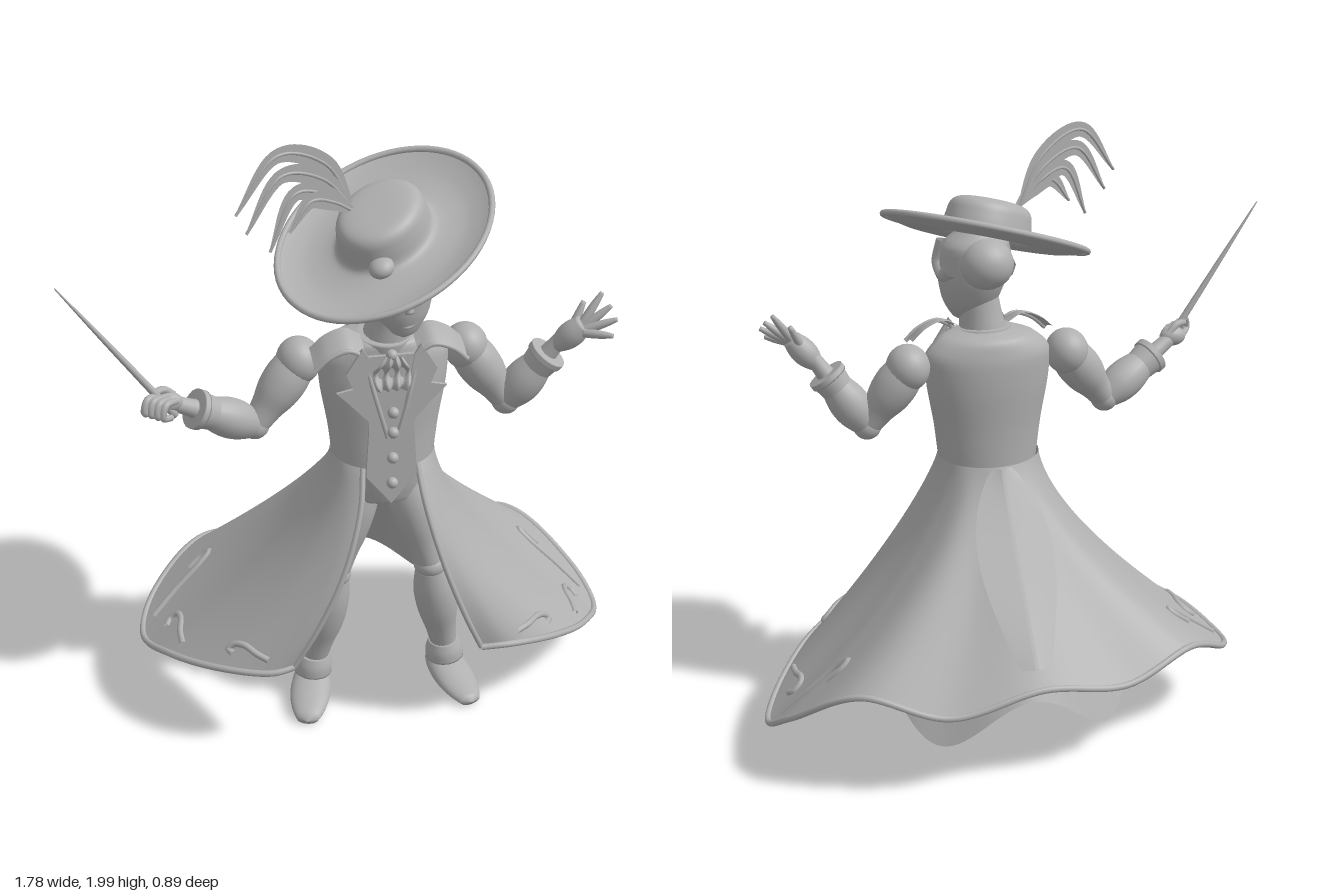
import * as THREE from 'three';

const V = (x, y, z) => new THREE.Vector3(x, y, z);
const lerp = THREE.MathUtils.lerp;
const grey = new THREE.MeshStandardMaterial({ color: 0xb0b0b0, side: THREE.DoubleSide });
grey.name = 'plain grey';

// Surface from a function f(u, v) -> Vector3, u and v in 0..1
function sheet(f, nu, nv) {
  const pos = [], idx = [];
  for (let j = 0; j <= nv; j++) for (let i = 0; i <= nu; i++) pos.push(...f(i / nu, j / nv).toArray());
  for (let j = 0; j < nv; j++) for (let i = 0; i < nu; i++) {
    const a = j * (nu + 1) + i, b = a + nu + 1;
    idx.push(a, b, a + 1, b, b + 1, a + 1);
  }
  const g = new THREE.BufferGeometry();
  g.setAttribute('position', new THREE.Float32BufferAttribute(pos, 3));
  g.setIndex(idx);
  g.computeVertexNormals();
  return g;
}

// Closed loft through elliptical sections [x, y, z, rx, rz]
function loft(sections, n = 32) {
  const mid = new THREE.CatmullRomCurve3(sections.map(s => V(s[0], s[1], s[2])));
  const rad = new THREE.CatmullRomCurve3(sections.map(s => V(s[3], s[4], 0)));
  return sheet((u, v) => {
    const c = mid.getPoint(v), r = rad.getPoint(v), a = u * Math.PI * 2;
    return V(c.x + r.x * Math.cos(a), c.y, c.z + r.y * Math.sin(a));
  }, n, sections.length * 4);
}

export function createModel() {
  const root = new THREE.Group();
  const add = (name, geo, parent = root) => {
    const m = new THREE.Mesh(geo, grey);
    m.name = name;
    parent.add(m);
    return m;
  };
  const ball = (name, p, rx, ry = rx, rz = rx, parent = root) => {
    const m = add(name, new THREE.SphereGeometry(1, 24, 16), parent);
    m.position.copy(p);
    m.scale.set(rx, ry, rz);
    return m;
  };
  // Turned piece from a to b with evenly spaced radii
  const limb = (name, a, b, radii) => {
    const d = b.clone().sub(a), L = d.length(), n = radii.length - 1;
    const prof = new THREE.SplineCurve(radii.map((r, i) => new THREE.Vector2(r, L * i / n))).getPoints(n * 4);
    const pts = [new THREE.Vector2(0, 0), ...prof, new THREE.Vector2(0, L)];
    const m = add(name, new THREE.LatheGeometry(pts, 20));
    m.position.copy(a);
    m.quaternion.setFromUnitVectors(V(0, 1, 0), d.normalize());
  };
  const tube = (name, pts, r) =>
    add(name, new THREE.TubeGeometry(new THREE.CatmullRomCurve3(pts), pts.length * 6, r, 8));

  // Torso, neck and hips
  const cx = 0.095;
  add('torso', loft([[cx, 0.92, 0.14, 0.16, 0.13], [cx, 1.05, 0.135, 0.175, 0.125], [cx, 1.2, 0.13, 0.2, 0.125],
    [cx, 1.29, 0.125, 0.205, 0.115], [cx, 1.35, 0.13, 0.15, 0.1], [cx, 1.37, 0.14, 0.07, 0.07]]));
  limb('neck', V(cx, 1.3, 0.15), V(0.115, 1.47, 0.165), [0.08, 0.075, 0.068, 0.065]);
  limb('collarBand', V(cx, 1.32, 0.15), V(cx, 1.37, 0.155), [0.085, 0.085]);
  add('hips', loft([[cx, 0.78, 0.14, 0.001, 0.001], [cx, 0.785, 0.14, 0.11, 0.08], [cx, 0.84, 0.14, 0.125, 0.1],
    [cx, 0.94, 0.14, 0.14, 0.12]]));
  const plate = (name, pts, z, tilt) => {
    const s = new THREE.Shape(pts.map(p => new THREE.Vector2(p[0], p[1] - 0.9)));
    const m = add(name, new THREE.ExtrudeGeometry(s, { depth: 0.012, bevelEnabled: false }));
    m.position.set(cx, 0.9, z);
    m.rotation.x = tilt;
  };
  plate('waistcoatFront', [[-0.08, 0.93], [0, 0.83], [0.08, 0.93], [0.07, 1.1], [0.1, 1.34], [-0.1, 1.34], [-0.07, 1.1]], 0.272, -0.05);
  for (const s of [-1, 1]) {
    plate('lapel', [[s * 0.02, 1.07], [s * 0.14, 1.2], [s * 0.17, 1.23], [s * 0.12, 1.24], [s * 0.14, 1.29],
      [s * 0.09, 1.37], [s * 0.07, 1.34]], 0.282, -0.06);
    tube('lapelTrim', [V(cx + s * 0.09, 1.36, 0.25), V(cx + s * 0.05, 1.2, 0.28), V(cx + s * 0.015, 1.07, 0.288)], 0.007);
    // Curved collar wing over the shoulder
    const wing = new THREE.CatmullRomCurve3([V(cx + s * 0.08, 1.37, 0.2), V(cx + s * 0.13, 1.395, 0.2),
      V(cx + s * 0.19, 1.375, 0.2), V(cx + s * 0.235, 1.335, 0.2)]);
    add('collarWing', sheet((u, v) => wing.getPoint(u).add(V(0, -0.03 * v * v, lerp(-0.04, 0.06, v))), 16, 6));
    tube('collarWingTrim', [0, 0.33, 0.66, 1].map(t => wing.getPoint(t).add(V(0, -0.03, 0.06))), 0.008);
  }
  for (const y of [0.91, 1.0, 1.09, 1.16, 1.34]) ball('button', V(cx, y, y > 1.3 ? 0.26 : 0.294), 0.018);
  // Ruffled neckcloth
  add('neckcloth', sheet((u, v) => V(cx + (u - 0.5) * lerp(0.06, 0.12, Math.sin(v * 2.6)), 1.34 - 0.11 * v,
    0.275 + 0.008 * Math.sin(u * 22) + 0.012 * Math.sin(v * 9)), 32, 12));

  // Coat skirt: flares from the waist to a wavy hem, open at the front
  const hem = new THREE.CatmullRomCurve3([
    [-0.24, 0.33, 0.41], [-0.31, 0.32, 0.415], [-0.46, 0.31, 0.35], [-0.61, 0.27, 0.19], [-0.685, 0.22, 0],
    [-0.63, 0.27, -0.17], [-0.45, 0.37, -0.32], [-0.2, 0.32, -0.41], [0.08, 0.36, -0.43], [0.38, 0.3, -0.41],
    [0.64, 0.37, -0.32], [0.83, 0.23, -0.14], [0.88, 0.15, 0], [0.8, 0.2, 0.17], [0.65, 0.28, 0.33],
    [0.47, 0.33, 0.415], [0.37, 0.33, 0.415]].map(p => V(...p)));
  const skirt = (u, v) => {
    const a = lerp(0.55, Math.PI * 2 - 0.55, u), h = hem.getPoint(u), front = (1 + Math.cos(a)) / 2;
    return V(lerp(cx - 0.165 * Math.sin(a), h.x, v ** 1.5), lerp(0.95, h.y, v),
      lerp(0.13 + 0.15 * Math.cos(a), h.z, v ** lerp(1.1, 0.75, front)) + 0.055 * front ** 2 * Math.sin(Math.PI * v));
  };
  add('coatSkirt', sheet(skirt, 120, 30));
  add('hemTrim', new THREE.TubeGeometry(hem, 160, 0.011, 8));
  for (const u of [0, 1])
    tube('frontEdgeTrim', [0, 0.15, 0.3, 0.45, 0.6, 0.8, 1].map(v => skirt(u, v)), 0.009);
  // Cane-shaped embroidery lying on the skirt, mirrored
  for (const [i0, v0, i1, v1] of [[4.3, 0.96, 5.1, 0.78], [3.0, 0.95, 3.8, 0.86], [1.3, 0.93, 2.1, 0.87]])
    for (const flip of [false, true]) {
      const at = (t, side) => {
        const u = (lerp(i0, i1, t) + side * 0.16) / 16;
        return skirt(flip ? 1 - u : u, lerp(v0, v1, t) + side * 0.04);
      };
      tube('caneMotif', [at(0, 0), at(0.4, 0), at(0.85, 0), at(1.02, 0.4), at(0.95, 0.9), at(0.75, 1)], 0.011);
    }
  // Paired tail strips down the back
  for (const s of [-1, 1])
    add('tailStrip', sheet((u, v) => {
      const p = skirt(0.5, v * 0.9), w = 0.03 + 0.085 * Math.sin(Math.PI * v ** 0.8) + 0.02 * v;
      return V(cx + s * lerp(0.006, w, u), p.y, p.z - 0.018 + 0.01 * u);
    }, 6, 24));
  // Scalloped lining hanging behind the legs
  add('lining', sheet((u, v) => {
    const a = Math.PI * (0.5 + u), low = 0.205 + 0.075 * Math.cos(4 * a);
    return V(cx - lerp(0.13, 0.4, v) * Math.sin(a), lerp(0.92, low, v),
      0.1 - lerp(0.08, 0.46, v) * Math.sqrt(Math.abs(Math.cos(a))));
  }, 60, 16));

  // Legs and shoes
  for (const s of [-1, 1]) {
    const X = d => cx + s * d;
    const hip = V(X(0.065), 0.84, 0.14), knee = V(X(0.16), 0.5, 0.16), ankle = V(X(0.225), 0.13, 0.12);
    limb('thigh', hip, knee, [0.062, 0.072, 0.068, 0.055, 0.048]);
    ball('knee', knee, 0.055, 0.045, 0.055);
    limb('shin', knee, ankle, [0.048, 0.068, 0.068, 0.052, 0.042]);
    limb('shoeCuff', V(X(0.222), 0.16, 0.12), V(X(0.228), 0.09, 0.12), [0.05, 0.062, 0.064]);
    const shoe = add('shoe', sheet((u, v) => {
      const a = u * Math.PI * 2, end = v < 0.001 || v > 0.999 ? 0 : 1;
      const w = end * 0.068 * Math.sqrt(Math.sin(Math.PI * (0.15 + v * 0.8)));
      const h = lerp(0.055, 0.018, v), up = Math.sin(a);
      return V(w * Math.cos(a), 0.005 + h * (1 + end * up * (up > 0 ? 1 : 0.95)), lerp(-0.06, 0.2, v));
    }, 24, 24));
    shoe.position.set(X(0.23), 0, 0.12);
    shoe.rotation.y = s * 0.25;
  }

  // Arms with cuffs
  const arm = (shoulder, elbow, wrist) => {
    const at = t => elbow.clone().lerp(wrist, t);
    ball('shoulder', shoulder, 0.07, 0.075, 0.075);
    limb('upperArm', shoulder, elbow, [0.06, 0.07, 0.066, 0.05, 0.042]);
    ball('elbow', elbow, 0.046);
    limb('forearm', elbow, wrist, [0.042, 0.06, 0.062, 0.05, 0.035]);
    limb('cuff', at(0.66), at(0.95), [0.05, 0.054, 0.058]);
    limb('cuffBand', at(0.9), at(1), [0.062, 0.062]);
    limb('wrist', at(0.95), at(1.35), [0.03, 0.026, 0.024]);
  };
  arm(V(-0.165, 1.27, 0.11), V(-0.31, 1.08, 0.15), V(-0.5, 1.19, 0.21));
  arm(V(0.36, 1.27, 0.11), V(0.49, 1.08, 0.14), V(0.61, 1.255, 0.175));

  // Right hand gripping a slender blade
  ball('rightPalm', V(-0.58, 1.235, 0.235), 0.045, 0.032, 0.03);
  for (let i = 0; i < 4; i++) {
    const x = -0.565 - i * 0.018, y = 1.225 + i * 0.008;
    tube('rightFinger', [V(x + 0.01, y + 0.02, 0.25), V(x - 0.025, y + 0.025, 0.285), V(x - 0.035, y - 0.01, 0.295),
      V(x - 0.01, y - 0.025, 0.27)], 0.011);
  }
  tube('rightThumb', [V(-0.56, 1.25, 0.22), V(-0.59, 1.275, 0.23), V(-0.625, 1.275, 0.25)], 0.012);
  limb('blade', V(-0.56, 1.195, 0.25), V(-0.885, 1.66, 0.28), [0.012, 0.011, 0.009, 0.006, 0.002]);

  // Left hand, open with fingers spread
  limb('leftPalm', V(0.63, 1.28, 0.185), V(0.705, 1.365, 0.215), [0.022, 0.038, 0.04, 0.03]);
  for (const [x, y, z] of [[0.765, 1.455, 0.19], [0.785, 1.425, 0.225], [0.795, 1.395, 0.26], [0.775, 1.355, 0.29]])
    limb('leftFinger', V(lerp(0.69, x, 0.1), lerp(1.345, y, 0.1), lerp(0.215, z, 0.3)), V(x, y, z), [0.014, 0.014, 0.012, 0.007]);
  limb('leftThumb', V(0.66, 1.31, 0.2), V(0.715, 1.42, 0.17), [0.014, 0.014, 0.008]);

  // Head
  add('head', loft([[0.14, 1.375, 0.215, 0.004, 0.004], [0.14, 1.395, 0.2, 0.045, 0.045], [0.135, 1.46, 0.18, 0.09, 0.085],
    [0.13, 1.55, 0.165, 0.11, 0.105], [0.125, 1.64, 0.155, 0.105, 0.1], [0.12, 1.7, 0.15, 0.04, 0.04]]));
  limb('nose', V(0.14, 1.54, 0.26), V(0.145, 1.48, 0.27), [0.008, 0.012, 0.014]);
  tube('mouth', [V(0.11, 1.43, 0.243), V(0.145, 1.425, 0.252), V(0.175, 1.435, 0.243)], 0.006);
  for (const s of [-1, 1]) {
    tube('brow', [V(0.135 + s * 0.025, 1.535, 0.267), V(0.135 + s * 0.05, 1.555, 0.258), V(0.135 + s * 0.08, 1.55, 0.238)], 0.006);
    ball('eye', V(0.135 + s * 0.045, 1.515, 0.252), 0.018, 0.008, 0.008);
    tube('sideHair', [V(0.125 + s * 0.09, 1.65, 0.19), V(0.125 + s * 0.105, 1.58, 0.19), V(0.125 + s * 0.1, 1.55, 0.15),
      V(0.125 + s * 0.09, 1.58, 0.1)], 0.026);
  }
  ball('hairBun', V(0.11, 1.595, 0.075), 0.085, 0.08, 0.08);

  // Wide oval hat, tilted along its long diagonal
  const hat = new THREE.Group();
  hat.name = 'hat';
  hat.position.set(0.1, 1.672, 0.115);
  hat.quaternion.setFromUnitVectors(V(0, 1, 0), V(-0.265, 0.93, 0.265).normalize());
  hat.rotateY(Math.PI / 4);
  hat.scale.set(1.13, 1, 0.94);
  root.add(hat);
  const profile = [[0, 0.115], [0.07, 0.113], [0.11, 0.105], [0.13, 0.085], [0.138, 0.05], [0.147, 0.005],
    [0.18, -0.01], [0.24, -0.014], [0.29, -0.004], [0.327, 0.01]].map(p => new THREE.Vector2(...p));
  add('crownAndBrim', new THREE.LatheGeometry(new THREE.SplineCurve(profile).getPoints(40), 64), hat);
  const trim = add('brimTrim', new THREE.TorusGeometry(0.327, 0.01, 8, 64), hat);
  trim.rotation.x = Math.PI / 2;
  trim.position.y = 0.01;
  ball('brooch', V(-0.125, 0.02, 0.085), 0.035, 0.028, 0.04, hat);

  // Drooping plumes: flat tapered ribbons with a central quill
  [[[-0.08, 1.91], [-0.23, 1.97], [-0.36, 1.82]], [[-0.09, 1.87], [-0.22, 1.91], [-0.33, 1.76]],
    [[-0.09, 1.83], [-0.18, 1.85], [-0.26, 1.69]], [[-0.06, 1.8], [-0.13, 1.82], [-0.2, 1.74]]].forEach((pts, i) => {
    const curve = new THREE.CatmullRomCurve3([[0.01, 1.75], ...pts].map(([x, y]) => V(x, y, 0.1 - 0.43 * x + (i - 1.5) * 0.012)));
    add('plume', sheet((u, v) => {
      const t = curve.getTangent(u), w = 0.004 + 0.026 * Math.sin(Math.PI * u ** 0.9);
      return curve.getPoint(u).add(V(-t.y, t.x, 0.43 * t.y).multiplyScalar((v - 0.5) * 2 * w));
    }, 32, 4));
    add('quill', new THREE.TubeGeometry(curve, 32, 0.005, 6));
  });
  return root;
}
